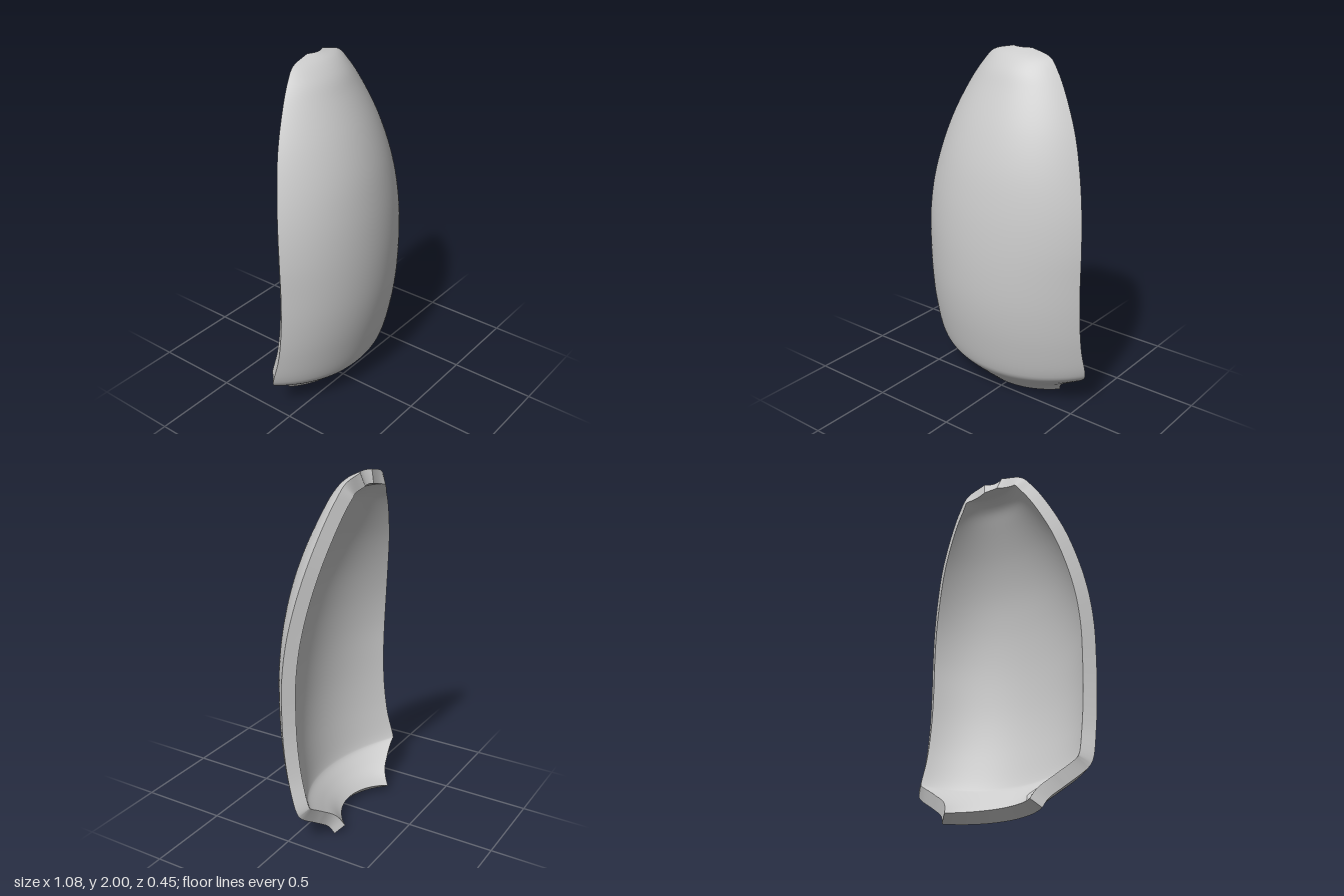
import * as THREE from 'three';

// Stations from bottom to top: [ridge y, ridge z, edge x, edge y, edge z]
const STATIONS = [
  [0, -0.05, 0.30, 0, -0.18],
  [0.04, -0.005, 0.325, 0.05, -0.155],
  [0.09, 0.05, 0.40, 0.105, -0.128],
  [0.15, 0.108, 0.515, 0.185, -0.098],
  [0.19, 0.13, 0.535, 0.225, -0.083],
  [0.4, 0.182, 0.535, 0.4, -0.035],
  [0.6, 0.212, 0.535, 0.6, -0.008],
  [0.8, 0.223, 0.535, 0.8, 0],
  [1.0, 0.219, 0.533, 1.0, -0.004],
  [1.2, 0.2, 0.515, 1.2, -0.023],
  [1.4, 0.163, 0.475, 1.4, -0.055],
  [1.6, 0.1, 0.412, 1.6, -0.095],
  [1.8, 0.012, 0.315, 1.8, -0.137],
  [1.9, -0.04, 0.25, 1.9, -0.16],
  [1.965, -0.1, 0.19, 1.965, -0.175],
  [2.0, -0.165, 0.06, 2.0, -0.186],
];
const THICKNESS = 0.075;
const ridge = new THREE.CatmullRomCurve3(STATIONS.map(s => new THREE.Vector3(0, s[0], s[1])));
const edge = new THREE.CatmullRomCurve3(STATIONS.map(s => new THREE.Vector3(s[2], s[3], s[4])));

// Outer face: each rib is a circular arc through the ridge and both edges
function outer(u, t) {
  const r = ridge.getPoint(t), e = edge.getPoint(t);
  const sag = r.z - e.z;
  const radius = (e.x * e.x + sag * sag) / (2 * sag);
  const a = u * Math.asin(Math.min(1, e.x / radius));
  return new THREE.Vector3(
    radius * Math.sin(a),
    THREE.MathUtils.lerp(r.y, e.y, u * u),
    r.z - radius * (1 - Math.cos(a)));
}

// Inner face: the outer face moved inward along its normal
function inner(u, t) {
  const h = 0.004;
  const du = outer(u + h, t).sub(outer(u - h, t));
  const dt = outer(u, Math.min(1, t + h)).sub(outer(u, Math.max(0, t - h)));
  return outer(u, t).addScaledVector(du.cross(dt).normalize(), -THICKNESS);
}

// Smooth grid patch; it faces along (first direction) x (second direction)
function patch(name, nu, nv, fn) {
  const pos = [], index = [];
  for (let j = 0; j <= nv; j++) {
    for (let i = 0; i <= nu; i++) {
      pos.push(...fn(i / nu, j / nv).toArray());
      if (i < nu && j < nv) {
        const a = j * (nu + 1) + i, b = a + 1, c = a + nu + 1, d = c + 1;
        index.push(a, b, d, a, d, c);
      }
    }
  }
  const g = new THREE.BufferGeometry();
  g.setAttribute('position', new THREE.Float32BufferAttribute(pos, 3));
  g.setIndex(index);
  g.computeVertexNormals();
  const mesh = new THREE.Mesh(g, new THREE.MeshStandardMaterial({ color: 0xcccccc, side: THREE.DoubleSide }));
  mesh.name = name;
  return mesh;
}

export function createModel() {
  const group = new THREE.Group();
  group.name = 'curvedShell';
  const NU = 40, NT = 90;
  const across = a => a * 2 - 1;
  const wall = (u, t, k) => outer(u, t).lerp(inner(u, t), k);

  // Faces of the shell
  group.add(patch('outerFace', NU, NT, (a, t) => outer(across(a), t)));
  group.add(patch('innerFace', NU, NT, (a, t) => inner(-across(a), t)));

  // Rim joining the two faces
  group.add(patch('leftRim', 1, NT, (k, t) => wall(1, t, k)));
  group.add(patch('rightRim', 1, NT, (k, t) => wall(-1, t, 1 - k)));
  group.add(patch('topRim', NU, 1, (a, k) => wall(across(a), 1, k)));
  group.add(patch('bottomRim', NU, 1, (a, k) => wall(across(a), 0, 1 - k)));
  return group;
}
